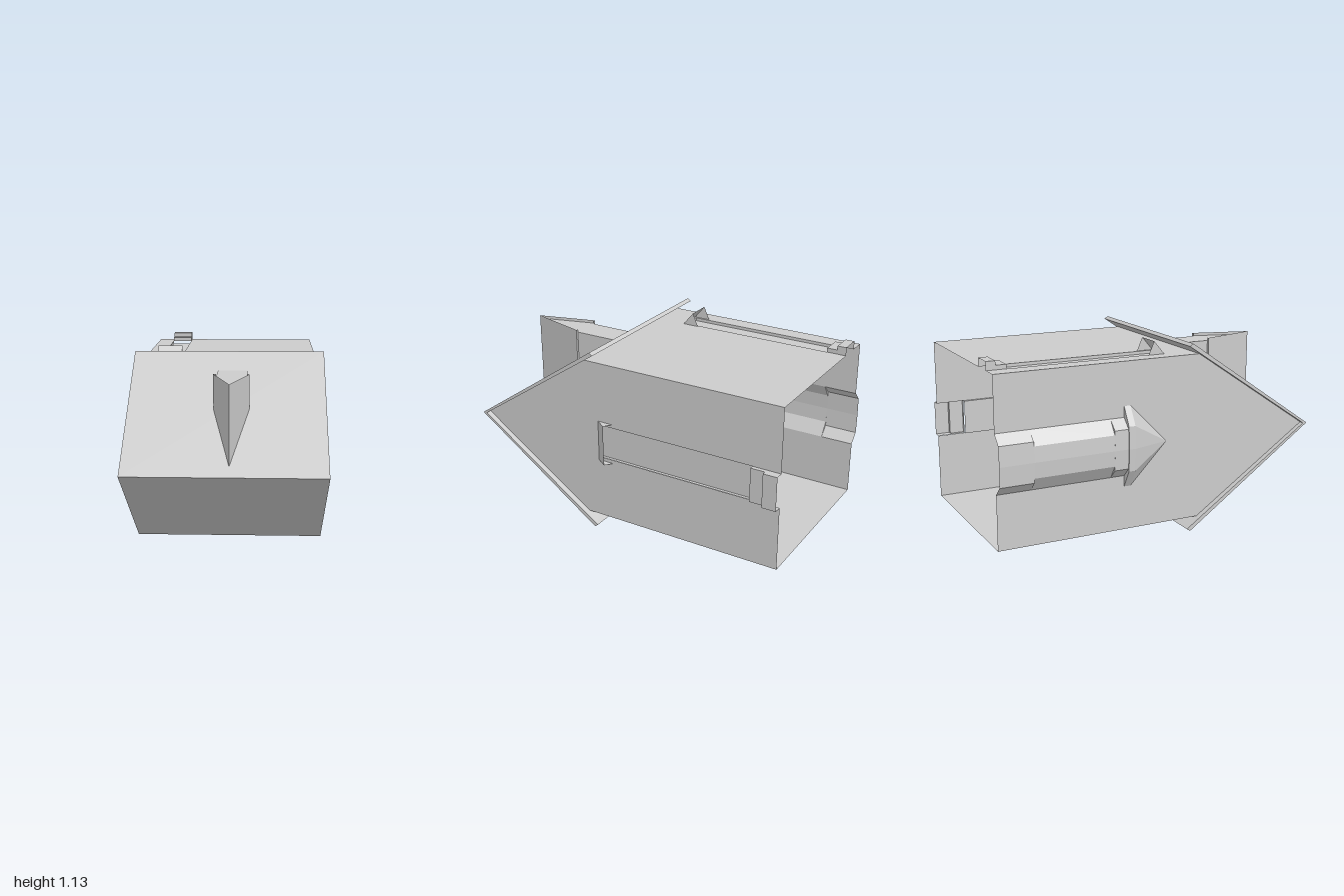
import * as THREE from 'three';

const material = new THREE.MeshStandardMaterial({ color: 0xcccccc, side: THREE.DoubleSide, flatShading: true });

function add(parent, name, geometry) {
  const mesh = new THREE.Mesh(geometry, material);
  mesh.name = name;
  parent.add(mesh);
  return mesh;
}

// Flat-shaded skin stretched over a row of cross-sections (arrays of [x, y, z])
function loft(sections) {
  const p = [];
  for (let i = 0; i < sections.length - 1; i++) {
    const a = sections[i], b = sections[i + 1];
    for (let j = 0; j < a.length - 1; j++) {
      p.push(...a[j], ...b[j], ...b[j + 1], ...a[j], ...b[j + 1], ...a[j + 1]);
    }
  }
  const g = new THREE.BufferGeometry();
  g.setAttribute('position', new THREE.Float32BufferAttribute(p, 3));
  g.computeVertexNormals();
  return g;
}

const flat = (pts) => new THREE.ShapeGeometry(new THREE.Shape(pts.map(([a, b]) => new THREE.Vector2(a, b))));
const sideWall = (pts, x) => flat(pts).rotateY(-Math.PI / 2).translate(x, 0, 0); // points are [z, y]
const levelWall = (pts, y) => flat(pts).rotateX(Math.PI / 2).translate(0, y, 0); // points are [x, z]

// Three-sided channel section, half width w and height h
const channel = (w, h, z) => [[-w, 0, z], [-w, h, z], [w, h, z], [w, 0, z]];

// Sunken rail with a hood in front and a stepped hollow block behind; +y is outward
function createRail(name, o) {
  const rail = new THREE.Group();
  rail.name = name;
  const { hoodW, w, hoodH, stepH, end, step, back } = o;
  add(rail, 'railHood', loft([channel(hoodW, 0, 0.065), channel(hoodW, hoodH, 0)]));
  for (const x of [-hoodW, hoodW]) {
    add(rail, 'hoodCheek', loft([
      [[x, 0, 0.065], [x, 0, 0.065]], [[x, 0, 0], [x, hoodH, 0]], [[x, 0, -0.035], [x, 0, -0.035]],
    ]));
  }
  add(rail, 'railTray', loft([channel(w, 0, 0.05), channel(w, -0.018, 0.05), channel(w, -0.018, end)]));
  add(rail, 'railStep', loft([
    channel(w, 0, end), channel(w, stepH / 2, end), channel(w, stepH / 2, step),
    channel(w, stepH, step), channel(w, stepH, back),
  ]));
  return rail;
}

export function createModel() {
  const model = new THREE.Group();
  model.name = 'wedgeFrontedPod';
  const L = -0.51, R = 0.53, B = 0.075, T = 1.056, mid = 0.567, back = -1, shoulder = 0.246, nose = 0.975;

  // Hollow body, open at the back, with slots cut for the rails and the duct
  const outline = (notchLow, notchHigh, notchZ) => [
    [back, B], [shoulder, B], [nose, mid], [shoulder, T], [back, T],
    [back, notchHigh], [notchZ, notchHigh], [notchZ, notchLow], [back, notchLow],
  ];
  add(model, 'slottedSideWall', sideWall(outline(0.465, 0.672, 0.145), R));
  add(model, 'ductSideWall', sideWall(outline(0.397, 0.737, -0.22), L));
  add(model, 'floor', levelWall([[L, back], [R, back], [R, shoulder], [L, shoulder]], B));
  add(model, 'roof', levelWall([
    [L, back], [-0.41, back], [-0.41, 0.05], [-0.29, 0.05], [-0.29, back],
    [R, back], [R, shoulder], [L, shoulder],
  ], T));

  // Folded front plate, wider than the body
  const fold = [[1, mid], [0.187, 1.124], [0.166, 1.109], [nose, mid], [0.166, 0.015], [0.187, 0]];
  const plate = new THREE.ExtrudeGeometry(
    new THREE.Shape(fold.map(([z, y]) => new THREE.Vector2(z, y))), { depth: 1.105, bevelEnabled: false });
  add(model, 'frontPlate', plate.rotateY(-Math.PI / 2).translate(0.565, 0, 0));

  // Arrow-shaped fin standing on the upper slope: lower roofed shaft, raised pointed head
  const plateY = (z) => mid + (1 - z) * 0.685;
  const cx = 0.038, finTop = 1.048, shaftTop = 1.03;
  const post = (x, z, top) => [[cx + x, plateY(z), z], [cx + x, top, z]];
  add(model, 'finHead', loft([
    post(-0.085, 0.582, finTop), post(-0.1, 0.582, finTop), post(0, 0.936, finTop),
    post(0.1, 0.582, finTop), post(0.085, 0.582, finTop),
  ]));
  add(model, 'finShaft', loft([
    post(-0.085, 0.582, shaftTop), post(-0.085, 0.325, shaftTop),
    post(0.085, 0.325, shaftTop), post(0.085, 0.582, shaftTop),
  ]));
  add(model, 'finRoof', levelWall([
    [cx - 0.085, 0.325], [cx + 0.085, 0.325], [cx + 0.085, 0.582], [cx + 0.098, 0.584],
    [cx, 0.934], [cx - 0.098, 0.584], [cx - 0.085, 0.582],
  ], shaftTop));

  // Rails on the roof and on the left side
  const topRail = createRail('topRail', {
    hoodW: 0.072, w: 0.06, hoodH: 0.078, stepH: 0.05, end: -0.883, step: -0.945, back: -1,
  });
  topRail.position.set(-0.35, T, 0);
  const sideRail = createRail('sideRail', {
    hoodW: 0.125, w: 0.103, hoodH: 0.046, stepH: 0.048, end: -0.93, step: -1.015, back: -1.1,
  });
  sideRail.rotation.z = -Math.PI / 2;
  sideRail.position.set(R, 0.569, 0.1);
  model.add(topRail, sideRail);

  // Faceted side duct with inset panels, ending in a flared pointed hood
  const arch = (z, base, corner, depth, crown) => [
    [L, mid + base, z], [L - depth, mid + corner, z], [L - crown, mid, z],
    [L - depth, mid - corner, z], [L, mid - base, z],
  ];
  const duct = (z) => arch(z, 0.17, 0.115, 0.056, 0.061);
  const inset = (z) => arch(z, 0.17, 0.09, 0.056, 0.061);
  const flare = (z) => arch(z, 0.235, 0.13, 0.061, 0.068);
  add(model, 'sideDuct', loft([
    duct(-1), duct(-0.8), inset(-0.8), inset(-0.32), duct(-0.32), duct(-0.235),
  ]));
  add(model, 'ductHood', loft([
    duct(-0.235), flare(-0.235), flare(-0.195), arch(0.035, 0, 0, 0, 0),
  ]));
  return model;
}
